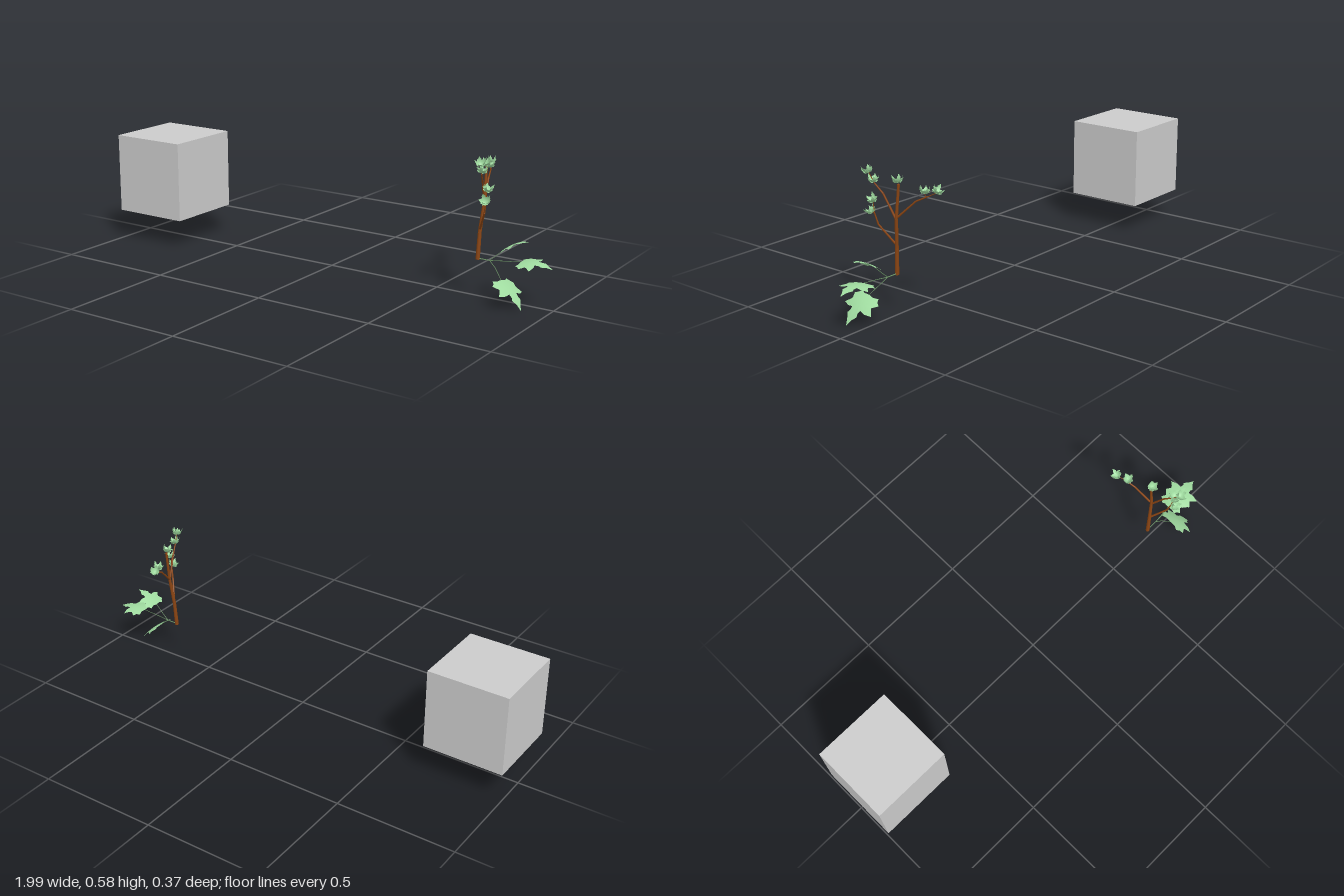
import * as THREE from 'three';
import { mergeGeometries } from 'three/addons/utils/BufferGeometryUtils.js';

const V = (p) => new THREE.Vector3(...p);
const grey = new THREE.MeshStandardMaterial({ color: 0xcccccc });
const bark = new THREE.MeshStandardMaterial({ color: 0x8b4513 });
const green = new THREE.MeshStandardMaterial({ color: 0xa0dca0, side: THREE.DoubleSide });
const stalk = new THREE.MeshStandardMaterial({ color: 0x6f9a68 });

function add(group, name, geometry, material) {
  const mesh = new THREE.Mesh(geometry, material);
  mesh.name = name;
  group.add(mesh);
  return mesh;
}

// Tapered round limb through a list of points, one straight piece per pair
function limb(points, r0, r1, sides = 8) {
  const n = points.length - 1;
  const pieces = [];
  for (let i = 0; i < n; i++) {
    const a = V(points[i]), b = V(points[i + 1]);
    const ra = r0 + (r1 - r0) * i / n, rb = r0 + (r1 - r0) * (i + 1) / n;
    const dir = b.clone().sub(a);
    const g = new THREE.CylinderGeometry(rb, ra, dir.length(), sides);
    g.applyQuaternion(new THREE.Quaternion().setFromUnitVectors(new THREE.Vector3(0, 1, 0), dir.normalize()));
    const mid = a.add(b).multiplyScalar(0.5);
    pieces.push(g.translate(mid.x, mid.y, mid.z));
  }
  return mergeGeometries(pieces);
}

// Half outline of a lobed leaf of length 1, from tip to base
const HALF = [[1, 0], [0.82, 0.08], [0.68, 0.19], [0.65, 0.14], [0.49, 0.17], [0.52, 0.33], [0.47, 0.55],
  [0.36, 0.44], [0.28, 0.38], [0.13, 0.5], [0.07, 0.39], [-0.03, 0.33], [0.02, 0.18], [0, 0]];

// Leaf along +x with its upper side at +y; bend curls the tip down, droop the sides
function leafGeometry(bend, droop) {
  const outline = [...HALF, ...HALF.slice(1, -1).reverse().map(([x, z]) => [x, -z])];
  const rings = 4, n = outline.length, pos = [], index = [];
  const point = (x, z) => pos.push(x, bend * x * (1 - x) * 2 - droop * z * z, z);
  point(0.3, 0);
  for (let r = 1; r <= rings; r++) {
    for (const [x, z] of outline) point(0.3 + (x - 0.3) * r / rings, z * r / rings);
  }
  for (let i = 0; i < n; i++) {
    const j = (i + 1) % n;
    index.push(0, 1 + i, 1 + j);
    for (let r = 0; r < rings - 1; r++) {
      const a = 1 + r * n + i, b = 1 + r * n + j;
      index.push(a, a + n, b + n, a, b + n, b);
    }
  }
  // Turn the winding so that the front faces look up
  for (let k = 0; k < index.length; k += 3) [index[k + 1], index[k + 2]] = [index[k + 2], index[k + 1]];
  const g = new THREE.BufferGeometry();
  g.setAttribute('position', new THREE.Float32BufferAttribute(pos, 3));
  g.setIndex(index);
  g.computeVertexNormals();
  return g;
}

// Place a leaf: base point, growing direction and rough upward side
function placeLeaf(geometry, base, dir, up, size) {
  const x = dir.clone().normalize();
  const z = x.clone().cross(up).normalize();
  const y = z.clone().cross(x);
  const m = new THREE.Matrix4().makeBasis(x, y, z).scale(new THREE.Vector3(size, size, size)).setPosition(base);
  return geometry.clone().applyMatrix4(m);
}

export function createModel() {
  const model = new THREE.Group();

  // Plain cube standing apart
  add(model, 'cube', new THREE.BoxGeometry(0.337, 0.337, 0.337), grey).position.set(-0.832, 0.297, 0.015);

  const plant = new THREE.Group();
  plant.name = 'plant';
  model.add(plant);

  // Trunk and forked branches
  add(plant, 'trunk', limb([[0.684, 0.153, 0.015], [0.687, 0.26, 0.01], [0.697, 0.378, -0.001],
    [0.695, 0.511, -0.015]], 0.0085, 0.005, 10), bark);
  const branches = {
    lowBranch: [[0.688, 0.272, 0.011], [0.73, 0.352, 0.059], [0.74, 0.398, 0.068]],
    frontBranch: [[0.697, 0.376, 0.001], [0.712, 0.468, 0.047], [0.724, 0.507, 0.08]],
    backBranch: [[0.697, 0.38, -0.002], [0.672, 0.453, -0.078], [0.658, 0.475, -0.122]],
  };
  for (const [name, pts] of Object.entries(branches)) add(plant, name, limb(pts, 0.0045, 0.0025), bark);

  // Leaf tufts: twig start, base of the tuft, growing direction
  const tufts = [
    [[0.74, 0.396, 0.068], [0.742, 0.398, 0.074], [0.1, 0.6, 0.6]],
    [[0.74, 0.398, 0.068], [0.743, 0.44, 0.07], [0.3, 0.9, 0.1]],
    [[0.724, 0.507, 0.08], [0.725, 0.51, 0.081], [0.2, 0.9, 0.0]],
    [[0.724, 0.507, 0.08], [0.73, 0.543, 0.1], [0.2, 0.9, 0.4]],
    [[0.695, 0.508, -0.015], [0.694, 0.516, -0.012], [-0.1, 1, 0.25]],
    [[0.66, 0.472, -0.115], [0.66, 0.485, -0.111], [-0.1, 1, 0.05]],
    [[0.658, 0.475, -0.122], [0.643, 0.49, -0.15], [-0.2, 0.8, -0.4]],
  ];
  const smallLeaf = leafGeometry(-0.3, -0.9);
  tufts.forEach(([from, at, direction], t) => {
    const base = V(at), axis = V(direction).normalize();
    add(plant, 'twig', limb([from, at], 0.002, 0.0012, 6), bark);
    const side = new THREE.Vector3(1, 0, 0).cross(axis).normalize();
    const leaves = [];
    for (let i = 0; i < 5; i++) {
      const out = side.clone().applyAxisAngle(axis, t * 1.3 + i * Math.PI * 0.4);
      const dir = axis.clone().addScaledVector(out, 0.55 + 0.2 * (i % 3));
      leaves.push(placeLeaf(smallLeaf, base, dir, axis.clone().addScaledVector(out, -1.2), 0.036 + 0.004 * (i % 2)));
    }
    add(plant, 'leafTuft', mergeGeometries(leaves), green);
  });

  // Three large leaves on thin stalks from the foot of the trunk
  const fork = [0.735, 0.157, 0.015];
  add(plant, 'mainStalk', limb([[0.684, 0.157, 0.015], fork], 0.0022, 0.0016, 6), stalk);
  const bigLeaves = [
    { name: 'upperLeaf', bend: [0.765, 0.183, 0.017], base: [0.8, 0.215, 0.02], tip: [0.902, 0.258, 0.022], up: [-0.4, 1, 0] },
    { name: 'middleLeaf', bend: [0.79, 0.164, 0.014], base: [0.862, 0.172, 0.01], tip: [0.992, 0.16, 0], up: [0, 1, 0.05] },
    { name: 'lowerLeaf', bend: [0.765, 0.135, 0.025], base: [0.802, 0.1, 0.047], tip: [0.902, 0.002, 0.072], up: [0.7, 0.7, 0] },
  ];
  const bigLeaf = leafGeometry(0.17, 0.25);
  for (const { name, bend, base, tip, up } of bigLeaves) {
    add(plant, name + 'Stalk', limb([fork, bend, base], 0.0014, 0.001, 6), stalk);
    const dir = V(tip).sub(V(base));
    add(plant, name, placeLeaf(bigLeaf, V(base), dir, V(up), dir.length()), green);
  }
  return model;
}
